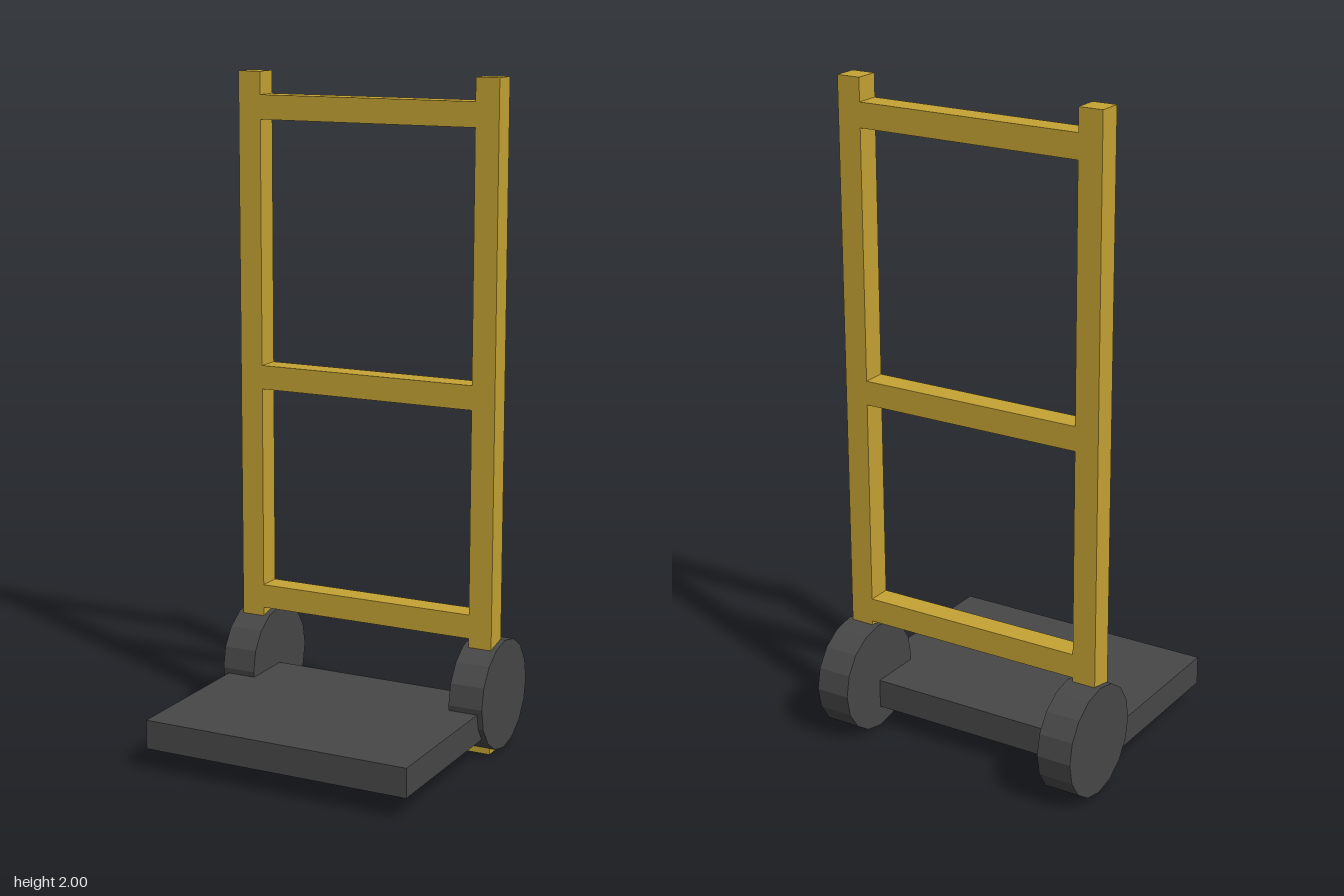
import * as THREE from 'three';

export function createModel() {
  const yellow = new THREE.MeshStandardMaterial({ name: 'yellow paint', color: 0xc4a233, flatShading: true });
  const dark = new THREE.MeshStandardMaterial({ name: 'dark grey', color: 0x474747, flatShading: true });
  const model = new THREE.Group();
  model.name = 'handTruck';

  const add = (name, geometry, material, x, y, z) => {
    const mesh = new THREE.Mesh(geometry, material);
    mesh.name = name;
    mesh.position.set(x, y, z);
    model.add(mesh);
    return mesh;
  };

  const bar = 0.073;      // square section of the frame
  const frameZ = -0.208;

  // Uprights and wheels, mirrored
  for (const [side, s] of [['left', 1], ['right', -1]]) {
    add(`${side}Upright`, new THREE.BoxGeometry(bar, 2, bar), yellow, s * 0.384, 1, frameZ);
    const wheel = new THREE.CylinderGeometry(0.168, 0.168, 0.107, 16).rotateZ(Math.PI / 2);
    add(`${side}Wheel`, wheel, dark, s * 0.383, 0.172, -0.24);
  }

  // Crossbars between the uprights
  [['lower', 0.388], ['middle', 1.08], ['upper', 1.895]].forEach(([name, y]) =>
    add(`${name}Crossbar`, new THREE.BoxGeometry(0.696, bar, bar), yellow, 0, y, frameZ));

  // Load plate, reaching back between the wheels
  add('loadPlate', new THREE.BoxGeometry(0.84, 0.088, 0.645), dark, 0, 0.111, 0.0825);

  return model;
}
